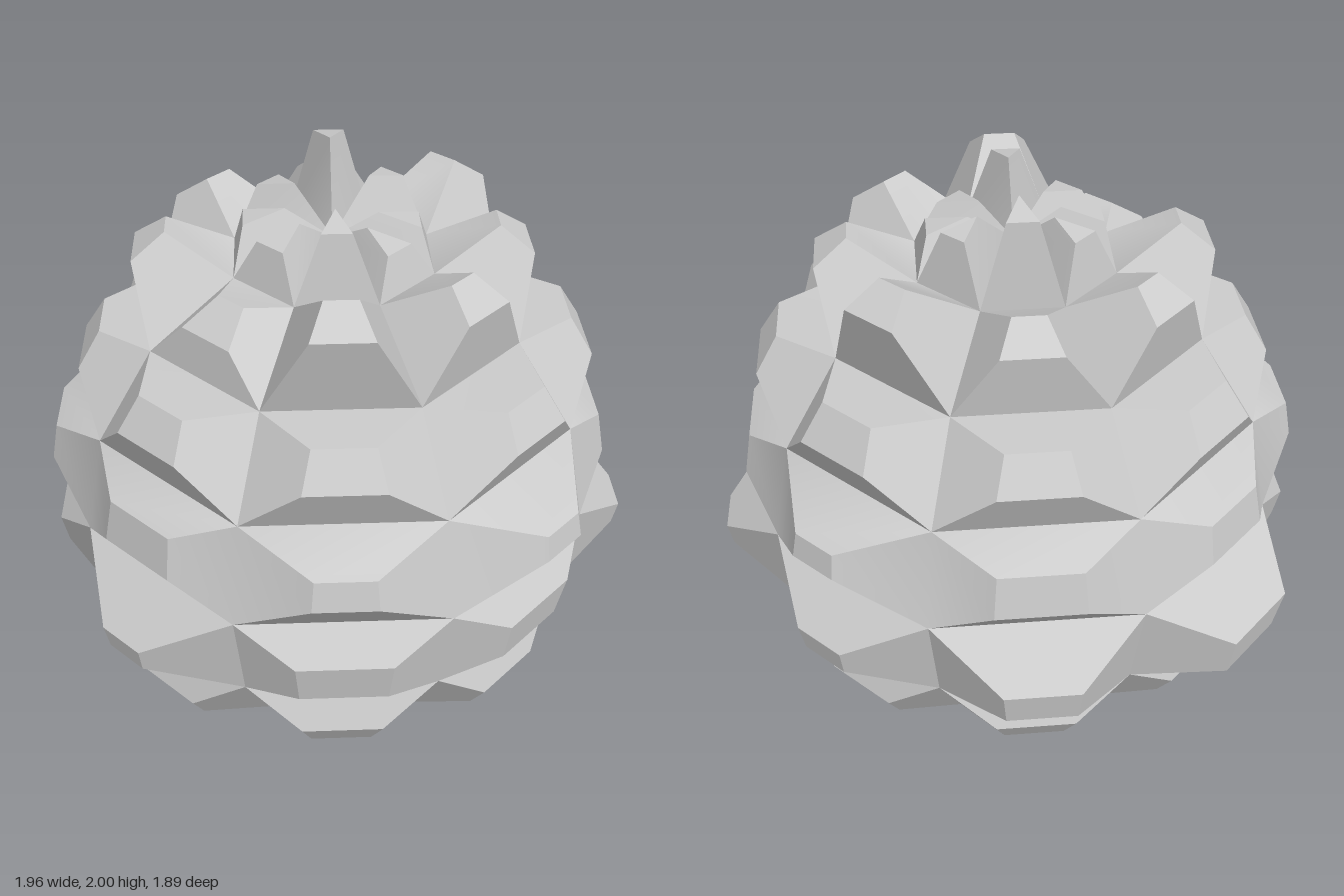
import * as THREE from 'three';
import { toCreasedNormals } from 'three/addons/utils/BufferGeometryUtils.js';

const SIDES = 8, RADIUS = 0.87, CENTRE = 0.88;
const material = new THREE.MeshStandardMaterial({ color: 0xcccccc });

// Each ring of scales: [tip size relative to its cell, how far it sticks out] per cell,
// counted from the front towards +x
const rings = [
  { name: 'bottomScales', ring: 2, cells: [[.42, .13], [.42, .13], [.4, .14], [.42, .13], [.42, .13], [.42, .12], [.42, .13], [.4, .14]] },
  { name: 'lowerScales', ring: 3, cells: [[.45, .11], [.45, .11], [.25, .23], [.28, .18], [.36, .2], [.44, .24], [.31, .16], [.25, .2]] },
  { name: 'middleScales', ring: 4, cells: [[.3, .13], [.25, .18], [.42, .12], [.25, .17], [.42, .12], [.4, .12], [.36, .15], [.42, .1]] },
  { name: 'upperScales', ring: 5, cells: [[.4, .15], [.38, .17], [.42, .16], [.42, .16], [.4, .15], [.42, .15], [.42, .14], [.4, .14]] },
  { name: 'crownScales', ring: 6, cells: [[.4, .27], [.4, .21], [.4, .22], [.4, .26], [.4, .19], [.4, .21], [.4, .22], [.42, .1]] },
  { name: 'topScales', ring: 7, cells: [[.36, .22], [.42, .11], [.42, .11], [.36, .18], [.38, .28], [.38, .16], [.42, .13], [.42, .13]] },
];

// Point on the core sphere: ring 0 is the bottom pole, ring 8 the top pole
function corePoint(ring, side) {
  const lat = Math.PI * ring / 8, lon = 2 * Math.PI * side / SIDES;
  const r = ring % 8 === 0 ? 0 : RADIUS * Math.sin(lat);
  return new THREE.Vector3(r * Math.sin(lon), CENTRE - RADIUS * Math.cos(lat), r * Math.cos(lon));
}

// One scale: a cell of the core pushed outwards to a smaller tip
function addScale(out, corners, size, height) {
  const n = corners.length;
  const mid = corners.reduce((s, p) => s.add(p), new THREE.Vector3()).divideScalar(n);
  const normal = corners[1].clone().sub(corners[0])
    .cross(corners[2].clone().sub(corners[0])).normalize();
  const tip = corners.map(p => mid.clone().lerp(p, size).addScaledVector(normal, height));
  const tri = (...pts) => pts.forEach(p => out.push(p.x, p.y, p.z));
  for (let i = 0; i < n; i++) {
    const j = (i + 1) % n;
    tri(corners[i], corners[j], tip[j]);
    tri(corners[i], tip[j], tip[i]);
  }
  for (let i = 1; i < n - 1; i++) tri(tip[0], tip[i], tip[i + 1]);
}

function scaleRing({ name, ring, cells }) {
  const positions = [];
  cells.forEach(([size, height], k) => {
    const corners = [corePoint(ring, k), corePoint(ring, k + 1), corePoint(ring + 1, k + 1)];
    if (ring < 7) corners.push(corePoint(ring + 1, k));
    addScale(positions, corners, size, height);
  });
  const geometry = new THREE.BufferGeometry();
  geometry.setAttribute('position', new THREE.Float32BufferAttribute(positions, 3));
  const mesh = new THREE.Mesh(toCreasedNormals(geometry, THREE.MathUtils.degToRad(25)), material);
  mesh.name = name;
  return mesh;
}

export function createModel() {
  const group = new THREE.Group();
  group.name = 'cone';

  // Smooth rounded base
  const profile = [0, 1, 2].map(i => {
    const p = corePoint(i, 0);
    return new THREE.Vector2(p.z, i === 0 ? 0 : p.y);
  });
  const base = new THREE.Mesh(new THREE.LatheGeometry(profile, SIDES), material);
  base.name = 'base';
  group.add(base);

  // Rings of scales up to the crown
  rings.forEach(r => group.add(scaleRing(r)));
  return group;
}
